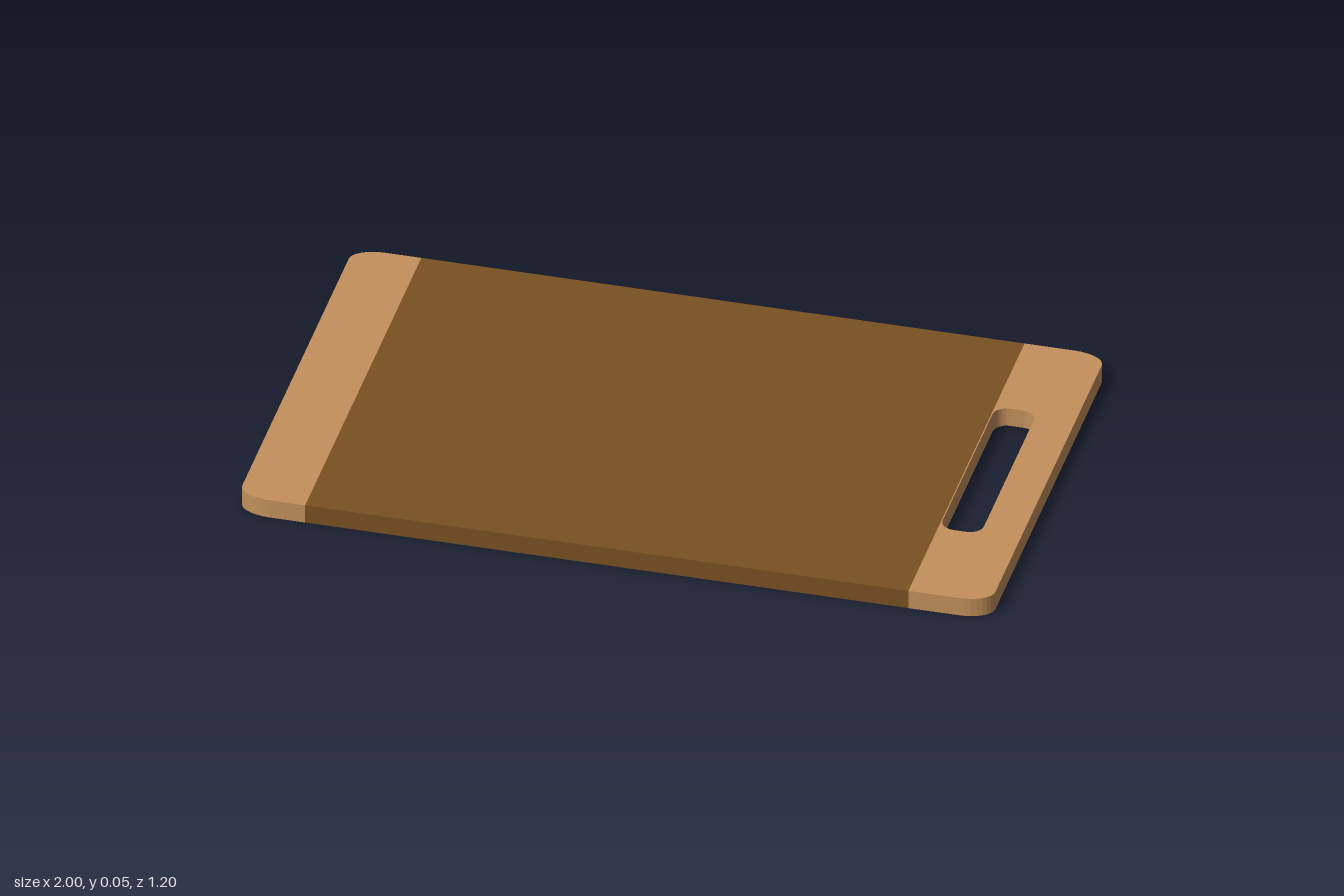
import * as THREE from 'three';

const THICK = 0.053, HALF_Z = 0.598;
const DARK_MIN = -0.82, DARK_MAX = 0.782;
const lightWood = new THREE.MeshStandardMaterial({ color: 0xc4905c });
const darkWood = new THREE.MeshStandardMaterial({ color: 0x785122 });

// Lay a flat outline on the ground and give it the board's thickness
function slab(name, shape, material) {
  const geometry = new THREE.ExtrudeGeometry(shape, { depth: THICK, bevelEnabled: false, curveSegments: 4 });
  geometry.rotateX(-Math.PI / 2);
  const mesh = new THREE.Mesh(geometry, material);
  mesh.name = name;
  return mesh;
}

// End strip from the seam to the outer edge, with two elliptical corners
function endShape(seam, side) {
  const rx = 0.085, rz = 0.05;
  const s = new THREE.Shape();
  s.moveTo(seam, -HALF_Z);
  s.lineTo(side * (1 - rx), -HALF_Z);
  s.absellipse(side * (1 - rx), -HALF_Z + rz, rx, rz, -Math.PI / 2, side > 0 ? 0 : -Math.PI, side < 0);
  s.lineTo(side, HALF_Z - rz);
  s.absellipse(side * (1 - rx), HALF_Z - rz, rx, rz, side > 0 ? 0 : Math.PI, Math.PI / 2, side < 0);
  s.lineTo(seam, HALF_Z);
  s.closePath();
  return s;
}

// Grip slot with rounded corners
function slotPath(x0, x1, hz) {
  const rx = 0.037, rz = 0.037;
  const p = new THREE.Path();
  p.moveTo(x0 + rx, -hz);
  p.absellipse(x1 - rx, -hz + rz, rx, rz, -Math.PI / 2, 0, false);
  p.absellipse(x1 - rx, hz - rz, rx, rz, 0, Math.PI / 2, false);
  p.absellipse(x0 + rx, hz - rz, rx, rz, Math.PI / 2, Math.PI, false);
  p.absellipse(x0 + rx, -hz + rz, rx, rz, Math.PI, Math.PI * 1.5, false);
  return p;
}

export function createModel() {
  const board = new THREE.Group();
  board.name = 'cuttingBoard';

  // Dark middle panel
  const panel = new THREE.Mesh(new THREE.BoxGeometry(DARK_MAX - DARK_MIN, THICK, HALF_Z * 2), darkWood);
  panel.position.set((DARK_MIN + DARK_MAX) / 2, THICK / 2, 0);
  panel.name = 'middlePanel';

  // Light ends, one with the grip slot
  const handle = endShape(DARK_MAX, 1);
  handle.holes.push(slotPath(0.785, 0.895, 0.293));
  board.add(panel, slab('handleEnd', handle, lightWood), slab('plainEnd', endShape(DARK_MIN, -1), lightWood));
  return board;
}
